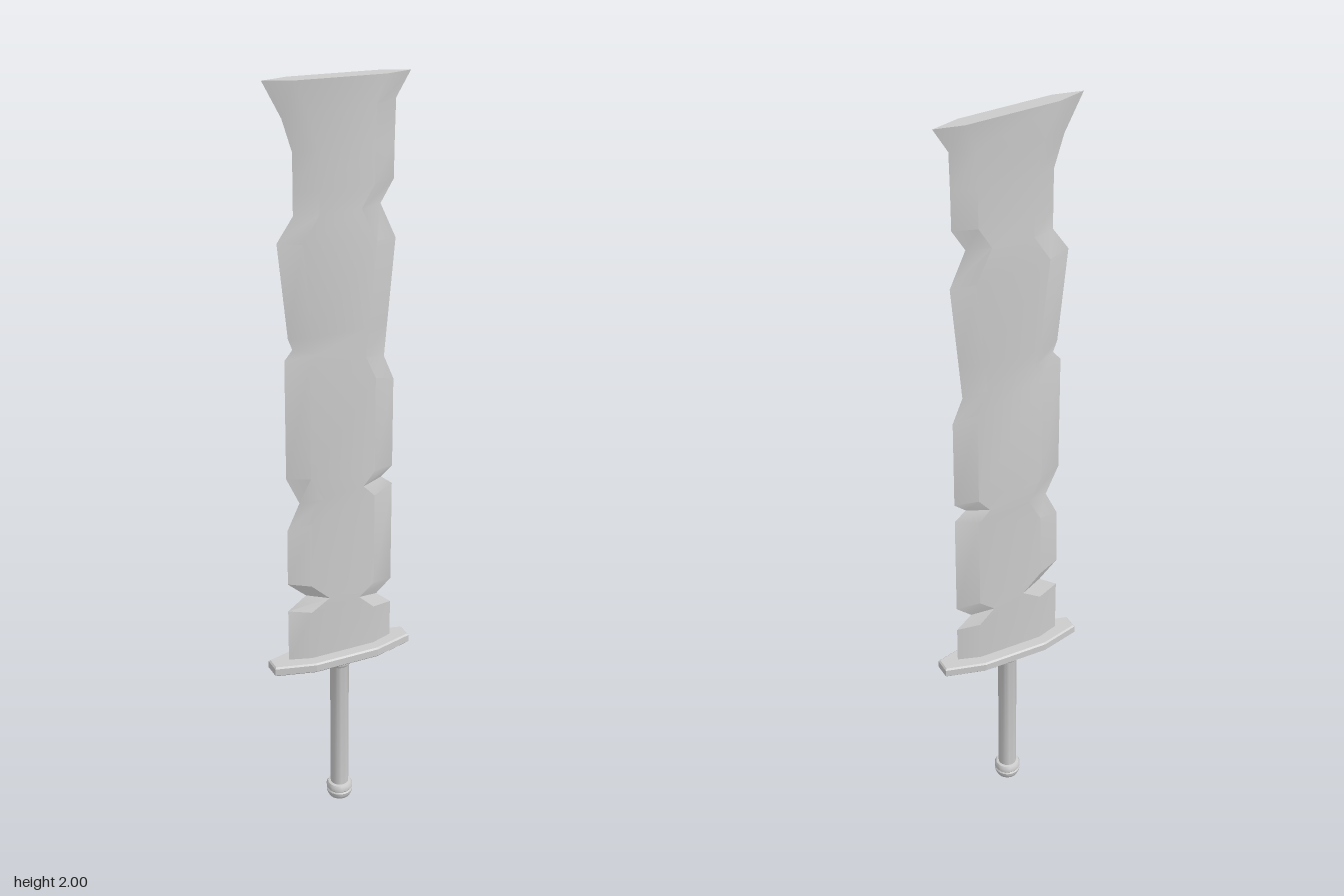
import * as THREE from 'three';
import { toCreasedNormals } from 'three/addons/utils/BufferGeometryUtils.js';

const material = new THREE.MeshStandardMaterial({ color: 0xcccccc });

function add(group, name, geometry) {
  const mesh = new THREE.Mesh(geometry, material);
  mesh.name = name;
  group.add(mesh);
  return mesh;
}

// Chipped blade outline, bottom to top: [left x, left y, right x, right y]
const OUTLINE = [
  [-0.145, 0.48, 0.147, 0.48],
  [-0.145, 0.63, 0.147, 0.585],
  [-0.095, 0.665, 0.106, 0.62],
  [-0.145, 0.71, 0.147, 0.655],
  [-0.143, 0.865, 0.147, 0.935],
  [-0.11, 0.935, 0.116, 0.96],
  [-0.145, 1.01, 0.147, 0.985],
  [-0.145, 1.325, 0.147, 1.225],
  [-0.124, 1.35, 0.12, 1.29],
  [-0.135, 1.38, 0.128, 1.38],
  [-0.16, 1.62, 0.147, 1.59],
  [-0.118, 1.68, 0.106, 1.68],
  [-0.118, 1.735, 0.14, 1.735],
  [-0.118, 1.83, 0.141, 1.83],
  [-0.143, 1.91, 0.143, 1.925],
  [-0.19, 2.0, 0.18, 1.985],
];

// Flat hexagonal cross-sections joined in a loop, closed at both ends
function bladeGeometry() {
  const thick = 0.019;
  const positions = [];
  const index = [];
  OUTLINE.forEach(([lx, ly, rx, ry], i) => {
    const bevel = i === OUTLINE.length - 1 ? 0.07 : 0.058;
    const at = (x, z) => positions.push(x, ly + ((ry - ly) * (x - lx)) / (rx - lx), z);
    at(lx, 0);
    at(lx + bevel, thick);
    at(rx - bevel, thick);
    at(rx, 0);
    at(rx - bevel, -thick);
    at(lx + bevel, -thick);
  });
  const rows = OUTLINE.length;
  for (let i = 0; i < rows - 1; i++) {
    for (let j = 0; j < 6; j++) {
      const a = i * 6 + j;
      const b = i * 6 + ((j + 1) % 6);
      index.push(a, b, b + 6, a, b + 6, a + 6);
    }
  }
  const top = (rows - 1) * 6;
  for (let j = 1; j < 5; j++) {
    index.push(0, j + 1, j);
    index.push(top, top + j, top + j + 1);
  }
  const geometry = new THREE.BufferGeometry();
  geometry.setAttribute('position', new THREE.Float32BufferAttribute(positions, 3));
  geometry.setIndex(index);
  return toCreasedNormals(geometry, 0.35);
}

// Eight-sided plate with a narrow chamfer
function guardGeometry() {
  const bevel = 0.004;
  const corners = [
    [0.189, -0.019], [0.189, 0.019], [0.088, 0.046], [-0.088, 0.046],
    [-0.189, 0.019], [-0.189, -0.019], [-0.088, -0.046], [0.088, -0.046],
  ];
  const shape = new THREE.Shape(corners.map(([x, y]) => new THREE.Vector2(x, y)));
  const geometry = new THREE.ExtrudeGeometry(shape, {
    depth: 0.019, bevelEnabled: true, bevelThickness: bevel, bevelSize: bevel, bevelSegments: 1,
  });
  return geometry.rotateX(-Math.PI / 2).translate(0, 0.4605, 0);
}

function turned(points, crease = 0.6) {
  const profile = points.map(([r, y]) => new THREE.Vector2(r, y));
  return toCreasedNormals(new THREE.LatheGeometry(profile, 24), crease);
}

export function createModel() {
  const sword = new THREE.Group();
  sword.name = 'sword';

  add(sword, 'blade', bladeGeometry());
  add(sword, 'guard', guardGeometry());

  // Grip with a small collar under the guard
  add(sword, 'grip', turned([
    [0.024, 0.04], [0.025, 0.432], [0.03, 0.44], [0.03, 0.46],
  ]));

  // Rounded pommel with a groove
  add(sword, 'pommel', turned([
    [0, 0], [0.018, 0.002], [0.029, 0.01], [0.034, 0.021], [0.035, 0.028],
    [0.032, 0.032], [0.035, 0.036], [0.035, 0.045], [0.031, 0.052], [0.022, 0.054],
  ]));

  return sword;
}
